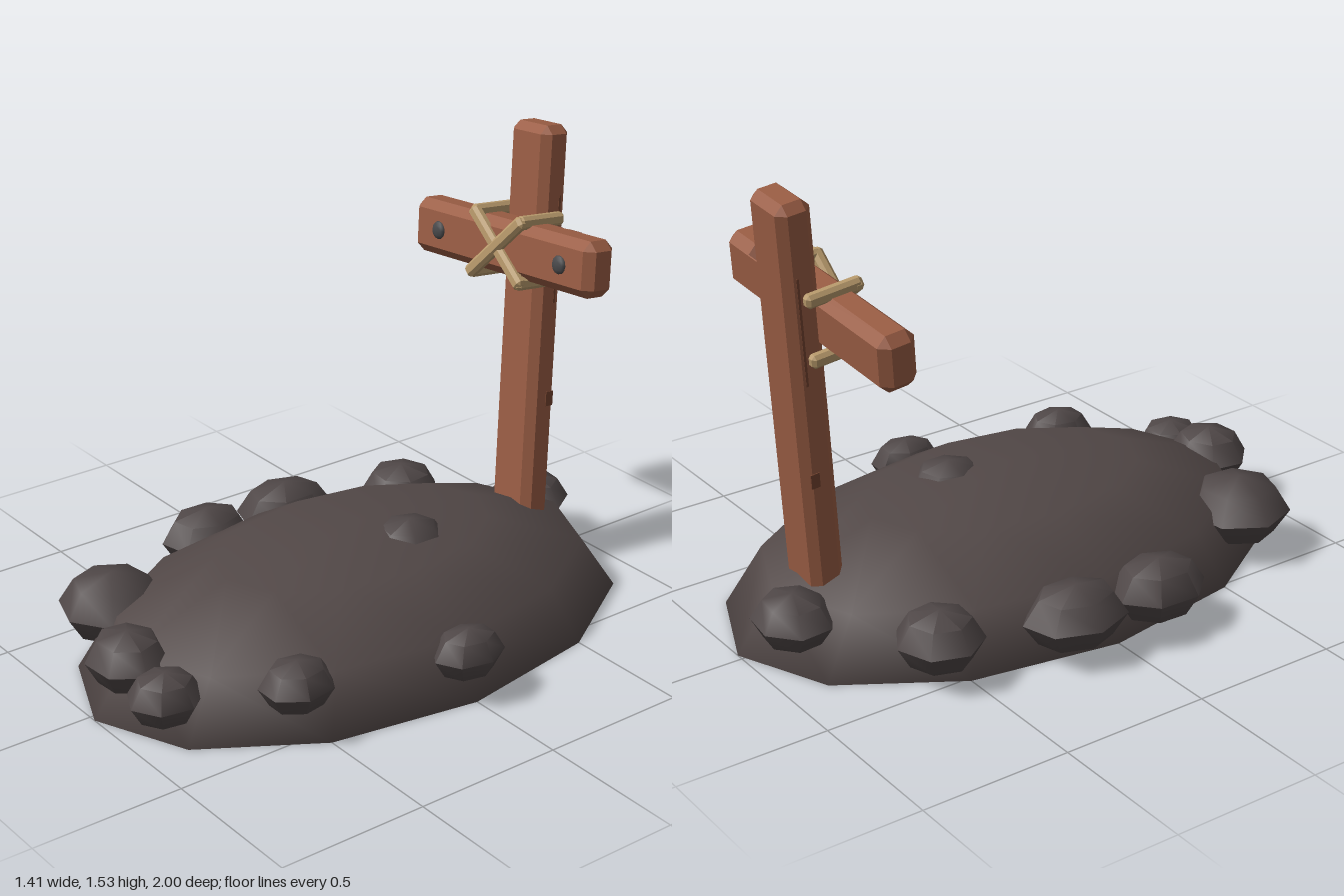
import * as THREE from 'three';
import { toCreasedNormals } from 'three/addons/utils/BufferGeometryUtils.js';
import { ConvexGeometry } from 'three/addons/geometries/ConvexGeometry.js';

const material = (name, color) => {
  const m = new THREE.MeshStandardMaterial({ color });
  m.name = name;
  return m;
};

// Box with flat chamfers on every edge and corner
function chamferBox(w, h, d, c) {
  const points = [];
  for (const x of [-w / 2, w / 2]) for (const y of [-h / 2, h / 2]) for (const z of [-d / 2, d / 2]) {
    const sx = Math.sign(x) * c, sy = Math.sign(y) * c, sz = Math.sign(z) * c;
    points.push(
      new THREE.Vector3(x, y - sy, z - sz),
      new THREE.Vector3(x - sx, y, z - sz),
      new THREE.Vector3(x - sx, y - sy, z));
  }
  return new ConvexGeometry(points);
}

export function createModel() {
  const soil = material('dark soil', 0x524847);
  const stone = material('stone', 0x4f4747);
  const wood = material('red brown wood', 0x9a5d44);
  const crackWood = material('dark wood', 0x74432f);
  const rope = material('tan rope', 0xb89a6c);
  const iron = material('dark iron', 0x48484a);

  const model = new THREE.Group();
  model.name = 'graveMound';

  const add = (parent, name, geometry, mat, x = 0, y = 0, z = 0) => {
    const mesh = new THREE.Mesh(geometry, mat);
    mesh.name = name;
    mesh.position.set(x, y, z);
    parent.add(mesh);
    return mesh;
  };

  // Earth mound: a squashed half sphere closed underneath
  const dome = new THREE.SphereGeometry(1, 12, 3, 0, Math.PI * 2, 0, Math.PI / 2);
  add(model, 'mound', dome, soil, 0.025).scale.set(0.625, 0.375, 1);
  const base = new THREE.CircleGeometry(1, 12).rotateX(Math.PI / 2);
  add(model, 'moundBase', base, soil, 0.025).scale.set(0.625, 1, 1);

  // Border stones: centre x, y, z and half sizes x, y, z
  const rocks = [
    [-0.57, 0.14, -0.15, 0.135, 0.105, 0.175],
    [-0.575, 0.135, 0.17, 0.13, 0.105, 0.16],
    [-0.33, 0.155, 0.705, 0.17, 0.115, 0.17],
    [0.02, 0.17, 0.87, 0.138, 0.1, 0.128],
    [0.225, 0.13, 0.87, 0.11, 0.088, 0.12],
    [0.46, 0.17, 0.55, 0.105, 0.085, 0.122],
    [0.6, 0.155, 0, 0.095, 0.085, 0.122],
    [-0.45, 0.14, -0.57, 0.138, 0.1, 0.138],
    [-0.115, 0.155, -0.88, 0.138, 0.09, 0.125],
    [0.13, 0.3, -0.14, 0.12, 0.085, 0.13],
  ];
  rocks.forEach(([x, y, z, a, b, c], i) => {
    const g = new THREE.SphereGeometry(1, 7, 4).rotateY(i * 1.3).scale(a * 1.03, b, c * 1.03);
    add(model, 'borderStone' + (i + 1), toCreasedNormals(g, 0.9), stone, x, y, z);
  });

  // Wooden marker, leaning back and to one side
  const marker = new THREE.Group();
  marker.name = 'marker';
  marker.position.set(0.01, 0.2, -0.72);
  marker.rotation.set(-0.11, 0, 0.087);
  model.add(marker);

  const beamY = 0.93, beamZ = 0.1;
  add(marker, 'post', chamferBox(0.185, 1.43, 0.115, 0.027), wood, 0, 0.615, 0);
  add(marker, 'crossBeam', chamferBox(0.87, 0.185, 0.125, 0.03), wood, 0, beamY, beamZ);

  // Rope lashing: a cross in front and four bars running back past the post
  for (const side of [-1, 1]) {
    const bar = add(marker, 'ropeDiagonal', chamferBox(0.335, 0.044, 0.038, 0.011),
      rope, 0, beamY, beamZ + 0.066 + side * 0.003);
    bar.rotation.z = side * 0.72;
    for (const up of [-1, 1]) {
      add(marker, 'ropeSide', chamferBox(0.038, 0.044, 0.19, 0.011),
        rope, side * 0.113, beamY + up * 0.1, beamZ - 0.018);
    }
  }

  // Nails near the beam ends
  for (const side of [-1, 1]) {
    const nail = add(marker, 'nail', new THREE.SphereGeometry(0.031, 8, 6), iron,
      side * 0.298, beamY, beamZ + 0.0625);
    nail.scale.z = 0.45;
  }

  // Weathering: a crack and a chip on each side of the post, chips on the beam
  for (const side of [-1, 1]) {
    add(marker, 'postCrack', new THREE.BoxGeometry(0.004, 0.36, 0.008), crackWood, side * 0.092, 0.92, -0.018);
    add(marker, 'postChip', new THREE.BoxGeometry(0.006, 0.05, 0.03), crackWood, side * 0.092, 0.41, -0.022);
  }
  for (const x of [0.17, 0.26]) {
    const chip = add(marker, 'beamChip', new THREE.BoxGeometry(0.06, 0.036, 0.006), crackWood,
      x, beamY + 0.078, beamZ - 0.047);
    chip.rotation.x = Math.PI / 4;
  }

  return model;
}
